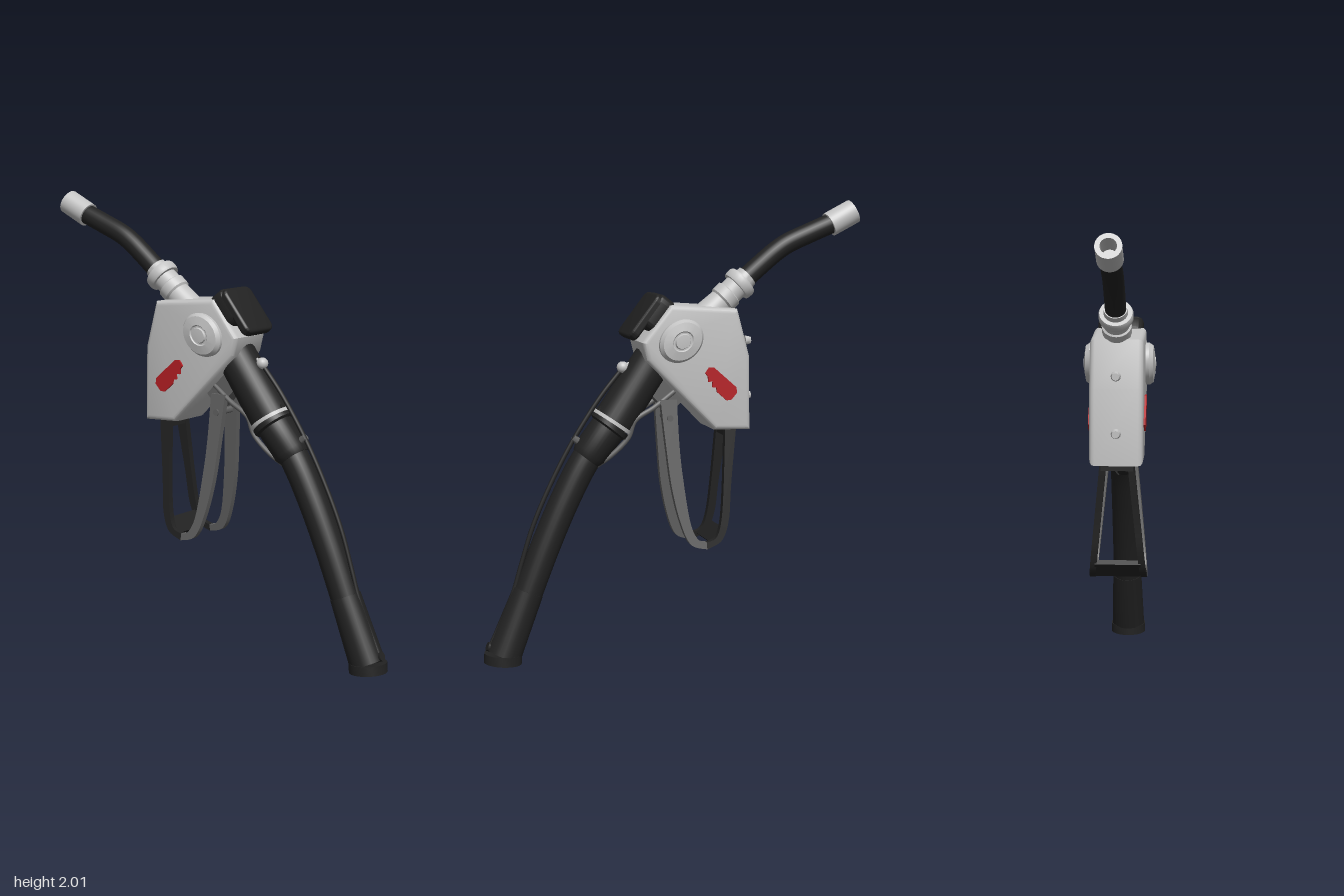
import * as THREE from 'three';
import { toCreasedNormals } from 'three/addons/utils/BufferGeometryUtils.js';

const material = (name, color) => {
  const m = new THREE.MeshStandardMaterial({ color });
  m.name = name;
  return m;
};

export function createModel() {
  const root = new THREE.Group();
  root.name = 'fuelNozzle';
  const metal = material('light grey metal', 0xc2c2c2);
  const rubber = material('black rubber', 0x222222);
  const steel = material('dark grey steel', 0x626262);
  const red = material('red', 0xb51f24);

  const v = ([x, y, z = 0]) => new THREE.Vector3(x, y, z);
  const add = (name, geo, mat, parent = root) => {
    const mesh = new THREE.Mesh(geo, mat);
    mesh.name = name;
    parent.add(mesh);
    return mesh;
  };
  // Turned part from a to b; profile is [radius, fraction of the length]
  const turned = (name, mat, a, b, profile, sides = 32) => {
    const dir = v(b).sub(v(a)), len = dir.length();
    const pts = profile.map(([r, t]) => new THREE.Vector2(r, t * len));
    const mesh = add(name, toCreasedNormals(new THREE.LatheGeometry(pts, sides), 0.6), mat);
    mesh.position.copy(v(a));
    mesh.quaternion.setFromUnitVectors(new THREE.Vector3(0, 1, 0), dir.normalize());
    return mesh;
  };
  const rod = (name, mat, a, b, r, r2 = r, sides = 24) =>
    turned(name, mat, a, b, [[0, 0], [r, 0], [r2, 1], [0, 1]], sides);
  const tube = (name, mat, pts, r, sides = 24) =>
    add(name, new THREE.TubeGeometry(new THREE.CatmullRomCurve3(pts.map(v)), 48, r, sides), mat);
  // Extrusion centred on z = 0, bevel included in the depth
  const slab = (shape, depth, bevel) => {
    const g = new THREE.ExtrudeGeometry(shape, {
      depth: depth - 2 * bevel, bevelEnabled: bevel > 0, bevelSize: bevel, bevelThickness: bevel,
      bevelOffset: -bevel, bevelSegments: 3, curveSegments: 10,
    });
    g.translate(0, 0, -depth / 2 + bevel);
    return toCreasedNormals(g, 0.6);
  };
  const polygon = (pts) => new THREE.Shape(pts.map(([x, y]) => new THREE.Vector2(x, y)));
  const roundedRect = (x0, x1, h, r) => {
    const s = new THREE.Shape();
    s.absarc(x1 - r, h - r, r, 0, Math.PI / 2);
    s.absarc(x0 + r, h - r, r, Math.PI / 2, Math.PI);
    s.absarc(x0 + r, -h + r, r, Math.PI, Math.PI * 1.5);
    s.absarc(x1 - r, -h + r, r, Math.PI * 1.5, Math.PI * 2);
    return s;
  };

  // Main housing
  add('housing', slab(polygon([
    [-0.16, 1.005], [0.15, 1.32], [0.17, 1.4], [0.045, 1.56], [-0.265, 1.535],
    [-0.32, 1.33], [-0.325, 1.0],
  ]), 0.23, 0.022), metal);

  // Side discs and red inlays, mirrored
  for (const s of [1, -1]) {
    const disc = new THREE.Group();
    disc.name = s > 0 ? 'frontDisc' : 'backDisc';
    disc.position.set(0, 1.405, s * 0.11);
    disc.rotation.set(s * Math.PI / 2, 0, 0);
    const rim = [[0, 0], [0.105, 0], [0.105, 0.02], [0.092, 0.038], [0.05, 0.045], [0.045, 0.04],
      [0.038, 0.04], [0.034, 0.048], [0, 0.05]].map((p) => new THREE.Vector2(...p));
    const cover = add('discCover', toCreasedNormals(new THREE.LatheGeometry(rim, 40), 0.6), metal, disc);
    cover.scale.z = 0.83;
    cover.rotation.y = -s * 0.65;
    root.add(disc);

    const inlay = add(s > 0 ? 'frontInlay' : 'backInlay', slab(polygon([
      [-0.085, -0.02], [-0.07, -0.036], [-0.01, -0.036], [0.005, -0.022], [0.02, -0.034],
      [0.035, -0.014], [0.05, -0.028], [0.065, -0.012], [0.085, -0.008], [0.088, 0.022],
      [0.07, 0.036], [-0.066, 0.036], [-0.085, 0.02],
    ]), 0.009, 0), red);
    inlay.position.set(-0.18, 1.21, s * 0.119);
    inlay.rotation.z = 0.72;
  }

  // Spout
  tube('spoutPipe', rubber, [[-0.76, 1.905], [-0.64, 1.857], [-0.53, 1.81], [-0.475, 1.775],
    [-0.4, 1.715], [-0.3, 1.63]], 0.045);
  turned('spoutTip', metal, [-0.732, 1.892], [-0.847, 1.95],
    [[0, 0], [0.055, 0], [0.055, 1], [0.034, 1], [0.034, 0.15], [0, 0.15]]);
  turned('spoutCollar', metal, [-0.345, 1.67], [-0.15, 1.5], [
    [0, 0], [0.05, 0], [0.052, 0.1], [0.07, 0.1], [0.074, 0.14], [0.074, 0.23], [0.07, 0.27],
    [0.056, 0.27], [0.056, 0.42], [0.064, 0.44], [0.064, 0.6], [0.056, 0.63], [0.062, 1], [0, 1],
  ]);

  // Swivel cap on the sloping rear face: inner block and overhanging outer plate
  const cap = new THREE.Group();
  cap.name = 'rearCap';
  cap.position.set(0.161, 1.519, 0);
  cap.rotation.z = -0.913;
  root.add(cap);
  const capPart = (name, x0, x1, h, thick, y) => {
    const m = add(name, slab(roundedRect(x0, x1, h, 0.035), thick, 0.012), rubber, cap);
    m.rotation.x = -Math.PI / 2;
    m.position.y = y;
  };
  capPart('capPlate', -0.115, 0.115, 0.1, 0.042, -0.02);
  capPart('capBlock', -0.125, 0.04, 0.1, 0.075, -0.055);

  // Hose with its sleeves
  rod('upperSleeve', rubber, [0.09, 1.315], [0.28, 1.04], 0.088, 0.09);
  turned('sleeveRing', metal, [0.272, 1.052], [0.281, 1.039],
    [[0, 0], [0.097, 0], [0.097, 1], [0, 1]]);
  turned('sleeveCollar', rubber, [0.281, 1.039], [0.4, 0.89],
    [[0, 0], [0.094, 0], [0.094, 0.12], [0.08, 0.16], [0.078, 0.85], [0.066, 1], [0, 1]]);
  tube('hose', rubber, [[0.27, 1.05], [0.4, 0.885], [0.49, 0.72], [0.58, 0.52], [0.66, 0.32],
    [0.77, 0.04]], 0.065);
  rod('lowerSleeve', rubber, [0.663, 0.315], [0.777, 0.035], 0.068, 0.078);
  rod('hoseEnd', rubber, [0.782, 0.0, 0], [0.779, 0.042, 0], 0.083, 0.083);

  // Breakaway cable along the hose
  tube('cable', rubber, [[0.235, 1.275], [0.33, 1.16], [0.46, 0.965], [0.56, 0.78], [0.64, 0.6],
    [0.695, 0.43], [0.735, 0.3], [0.84, 0.07]], 0.01, 10);
  const knob = add('cableKnob', new THREE.SphereGeometry(0.026, 20, 14), metal);
  knob.position.set(0.23, 1.285, 0);
  rod('cableStem', metal, [0.16, 1.31], [0.23, 1.285], 0.012);
  rod('cableClip', rubber, [0.29, 1.06], [0.345, 1.105], 0.026, 0.022);
  rod('cableNub', steel, [0.43, 0.965], [0.455, 0.985], 0.016);
  rod('cableAnchor', rubber, [0.8, 0.06], [0.85, 0.08], 0.02);

  // Hand lever and guard: flat curved bars leaning outwards towards the bottom
  const bar = (name, mat, outer, inner, s) => {
    const pts = (list) => list.map(([x, y]) => new THREE.Vector2(x, y));
    const shape = new THREE.Shape();
    shape.moveTo(...outer[0]);
    shape.splineThru(pts(outer.slice(1)));
    shape.lineTo(...inner[0]);
    shape.splineThru(pts(inner.slice(1)));
    let g = slab(shape, 0.028, 0);
    const p = g.attributes.position;
    for (let i = 0; i < p.count; i++) p.setZ(i, p.getZ(i) + s * (0.06 + (1 - p.getY(i)) * 0.1));
    add(name, toCreasedNormals(g, 0.6), mat);
  };
  for (const s of [1, -1]) {
    bar('lever', steel,
      [[-0.12, 0.474], [-0.045, 0.5], [0.0, 0.6], [0.035, 0.755], [0.055, 0.93], [0.075, 1.14]],
      [[0.0, 1.14], [-0.005, 0.95], [-0.017, 0.8], [-0.045, 0.6], [-0.08, 0.52], [-0.12, 0.505]], s);
    bar('guard', rubber,
      [[-0.22, 1.02], [-0.205, 0.755], [-0.19, 0.6], [-0.165, 0.525], [-0.12, 0.505]],
      [[-0.12, 0.474], [-0.19, 0.51], [-0.225, 0.6], [-0.24, 0.755], [-0.272, 1.02]], s);
    // Wire stay under the hose
    tube('wireStay', steel, [[0, 1.18, s * 0.04], [0.1, 1.11, s * 0.05], [0.19, 1.055, s * 0.055],
      [0.22, 0.98, s * 0.05], [0.3, 0.9, s * 0.04], [0.37, 0.85, s * 0.02]], 0.011, 10);
  }
  const crossbar = add('guardCrossbar', new THREE.BoxGeometry(0.085, 0.025, 0.2), rubber);
  crossbar.position.set(-0.18, 0.525, 0);
  crossbar.rotation.z = -0.85;
  const topBar = add('guardTop', new THREE.BoxGeometry(0.05, 0.04, 0.14), rubber);
  topBar.position.set(-0.245, 0.99, 0);
  const pivot = add('leverPivot', new THREE.BoxGeometry(0.15, 0.1, 0.09), steel);
  pivot.position.set(0.045, 1.165, 0);
  pivot.rotation.z = 0.8;
  rod('pivotPin', steel, [0.035, 1.06, -0.075], [0.035, 1.06, 0.075], 0.014);

  // Bolts on the nose of the housing
  for (const y of [1.385, 1.14]) {
    rod('boltStem', steel, [-0.31, y], [-0.34, y], 0.015);
    rod('boltHead', metal, [-0.333, y], [-0.36, y], 0.022, 0.016, 12);
  }
  return root;
}
